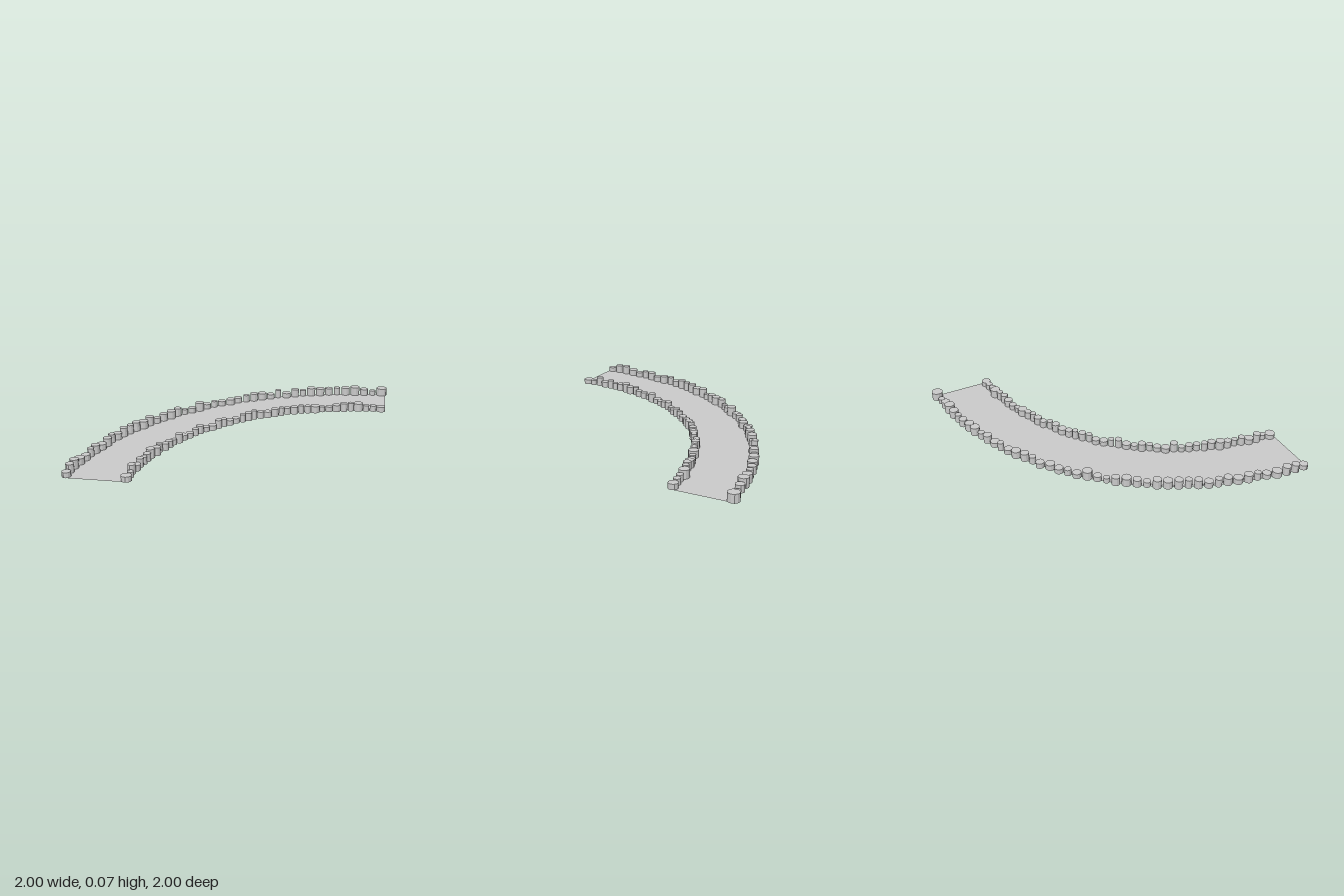
import * as THREE from 'three';

const CENTER = 0.99;      // centre of the bend, on x and z
const OUTER = 1.957, INNER = 1.57;

// Stone radii (thousandths) along each edge, from the front end to the right end
const OUTER_STONES = [30, 28, 30, 35, 30, 23, 30, 33, 30, 24, 30, 28, 24, 29, 33, 30, 25, 29, 33, 28, 22, 28, 33,
  30, 24, 30, 33, 30, 24, 30, 33, 30, 22, 33, 30, 24, 33, 33, 30, 24, 33, 36, 31, 24, 40];
const INNER_STONES = [35, 22, 26, 32, 24, 21, 27, 30, 27, 22, 25, 26, 22, 26, 30, 27, 22, 27, 24, 30, 25, 21, 29,
  27, 21, 26, 21, 26, 30, 27, 21, 24, 28, 21, 24, 34, 21, 26, 30, 26, 22, 35, 24, 25, 33];

function seeded(seed) {
  return () => {
    seed = (seed * 16807) % 2147483647;
    return seed / 2147483647;
  };
}

export function createModel() {
  const group = new THREE.Group();
  group.name = 'curvedPath';
  const material = new THREE.MeshStandardMaterial({ color: 0xcccccc, flatShading: true });
  const thin = new THREE.MeshStandardMaterial({ color: 0xcccccc, side: THREE.DoubleSide });

  // Flat quarter-ring walkway
  const ring = new THREE.RingGeometry(INNER, OUTER, 48, 1, Math.PI / 2, Math.PI / 2);
  ring.rotateX(-Math.PI / 2);
  const walkway = new THREE.Mesh(ring, thin);
  walkway.name = 'walkway';
  walkway.position.set(CENTER, 0.002, CENTER);
  group.add(walkway);

  // Row of edging stones laid side by side along an arc
  function stoneRow(name, radius, sizes, seed) {
    const random = seeded(seed);
    const row = new THREE.Group();
    row.name = name;
    const first = sizes[0], last = sizes[sizes.length - 1];
    const total = sizes.reduce((sum, s) => sum + 2 * s, 0) - first - last;
    const start = 0.031 / radius, sweep = Math.PI / 2 - 2 * start;
    let run = 0;
    sizes.forEach((size, i) => {
      if (i > 0) run += sizes[i - 1] + size;
      // blend touching spacing with even spacing
      const t = 0.5 * run / total + 0.5 * i / (sizes.length - 1);
      const angle = start + sweep * t;
      const isEnd = i === 0 || i === sizes.length - 1;
      const r = radius + (isEnd ? 0 : (random() - 0.5) * 0.016 - 0.005);
      const height = 0.036 + 0.03 * random();
      const stone = new THREE.Mesh(
        new THREE.CylinderGeometry(size / 1000, size / 1000, height, 12), material);
      stone.name = 'edgingStone';
      stone.position.set(CENTER - r * Math.cos(angle), height / 2, CENTER - r * Math.sin(angle));
      stone.rotation.y = random() * Math.PI;
      row.add(stone);
    });
    group.add(row);
  }

  stoneRow('outerEdging', OUTER, OUTER_STONES, 41);
  stoneRow('innerEdging', INNER, INNER_STONES, 977);

  return group;
}
